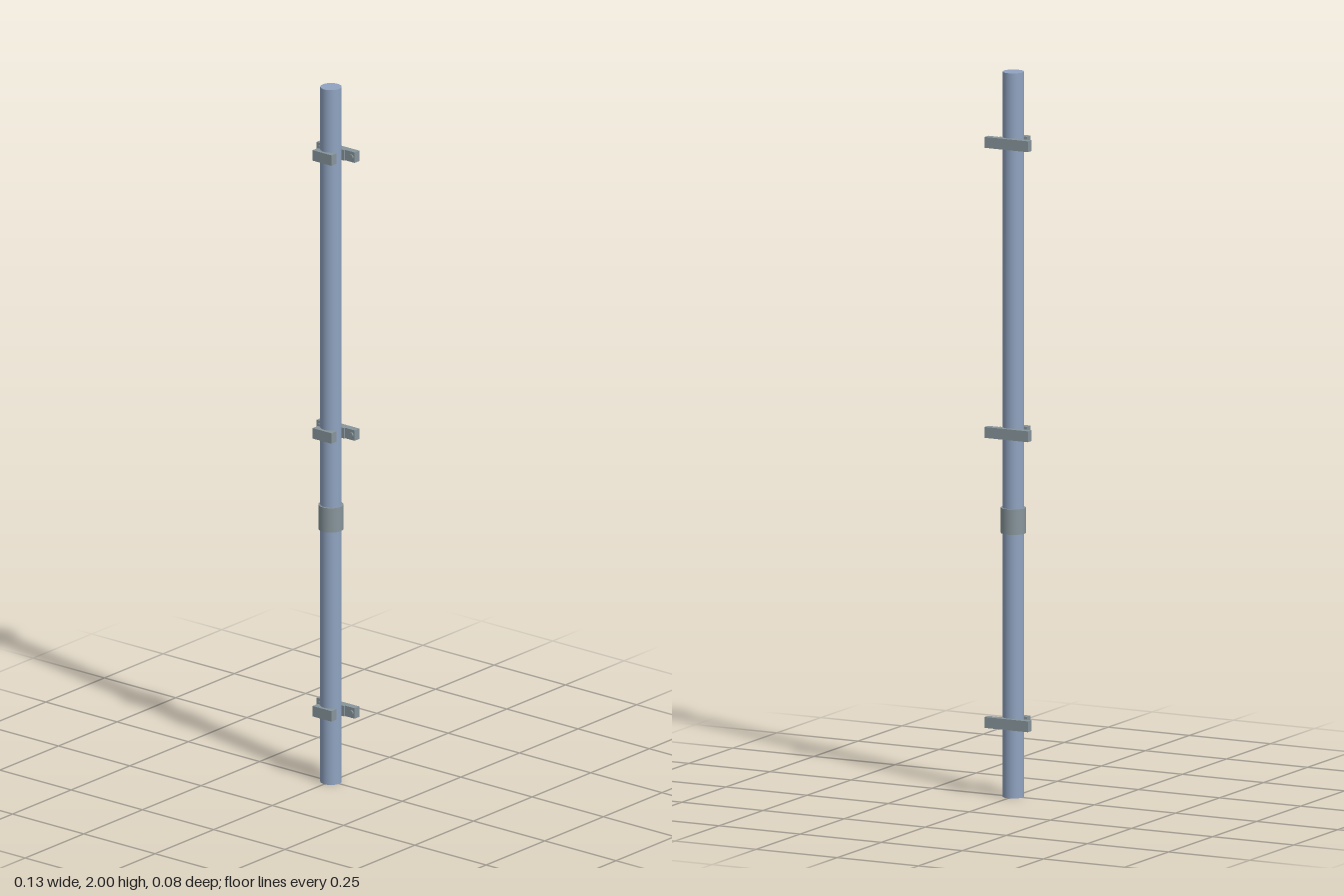
import * as THREE from 'three';

const PIPE_R = 0.029;
const pipeMat = new THREE.MeshStandardMaterial({ color: 0x8fa3c0 });
const metalMat = new THREE.MeshStandardMaterial({ color: 0x87959b });

function add(parent, name, geometry, material, x = 0, y = 0, z = 0) {
  const mesh = new THREE.Mesh(geometry, material);
  mesh.name = name;
  mesh.position.set(x, y, z);
  parent.add(mesh);
  return mesh;
}

// Half clamp block from z = zNear (pipe side) to z = zFar, with a round seat cut for the pipe
function jawGeometry(zNear, zFar, halfWidth, height) {
  const seat = Math.acos(zNear / PIPE_R);
  const xs = PIPE_R * Math.sin(seat);
  const s = new THREE.Shape();
  s.moveTo(xs, zNear);
  s.lineTo(halfWidth, zNear);
  s.lineTo(halfWidth, zFar);
  s.lineTo(-halfWidth, zFar);
  s.lineTo(-halfWidth, zNear);
  s.lineTo(-xs, zNear);
  s.absarc(0, 0, PIPE_R, Math.PI / 2 + seat, Math.PI / 2 - seat, true);
  const g = new THREE.ExtrudeGeometry(s, { depth: height, bevelEnabled: false, curveSegments: 16 });
  g.rotateX(Math.PI / 2);
  return g.translate(0, height / 2, 0);
}

// Wall clamp: long back bar, saddle, front jaw and two bolt heads
function createClamp() {
  const clamp = new THREE.Group();
  clamp.name = 'clamp';
  const h = 0.03;
  add(clamp, 'frontJaw', jawGeometry(0.016, 0.038, 0.033, h), metalMat);
  add(clamp, 'backSaddle', jawGeometry(0.016, 0.03, 0.033, h), metalMat).rotation.y = Math.PI;
  add(clamp, 'mountingBar', new THREE.BoxGeometry(0.134, h, 0.02), metalMat, 0, 0, -0.03);
  for (const side of [-1, 1]) {
    const head = new THREE.CylinderGeometry(0.007, 0.007, 0.005, 16).rotateX(Math.PI / 2);
    add(clamp, 'boltHead', head, metalMat, side * 0.056, 0, -0.0185);
  }
  return clamp;
}

export function createModel() {
  const model = new THREE.Group();
  model.name = 'clampedPipe';

  // Full-length pipe
  add(model, 'pipe', new THREE.CylinderGeometry(PIPE_R, PIPE_R, 2, 48), pipeMat, 0, 1, 0);

  // Sleeve joining two pipe lengths
  add(model, 'coupling', new THREE.CylinderGeometry(0.034, 0.034, 0.07, 48), metalMat, 0, 0.763, 0);

  // Evenly spaced clamps
  for (const y of [0.205, 1.005, 1.805]) {
    const clamp = createClamp();
    clamp.position.y = y;
    model.add(clamp);
  }
  return model;
}
